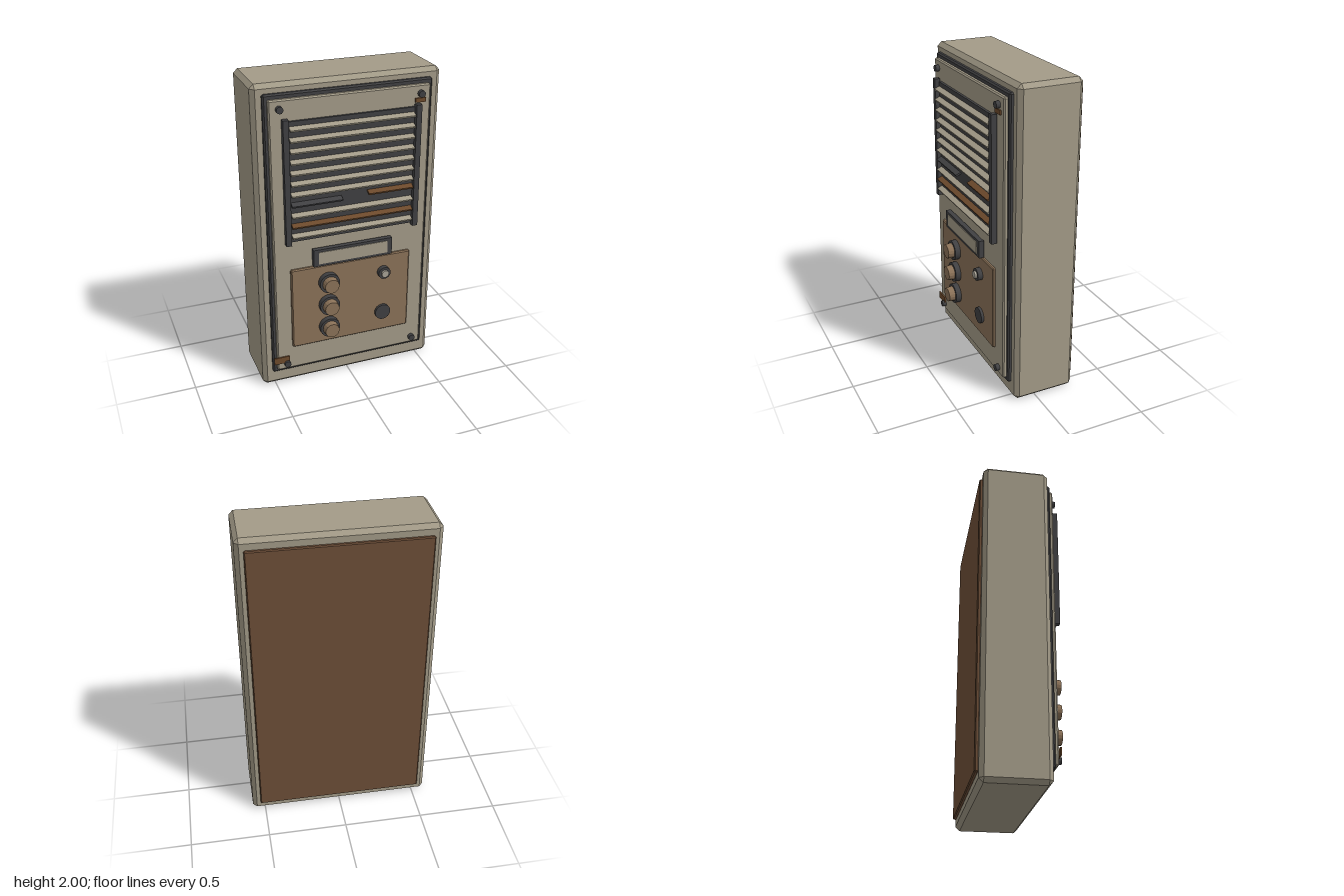
import * as THREE from 'three';
import { ConvexGeometry } from 'three/addons/geometries/ConvexGeometry.js';

const material = (name, color) => {
  const m = new THREE.MeshStandardMaterial({ color });
  m.name = name;
  return m;
};

export function createModel() {
  const beige = material('beige casing', 0xa39b88);
  const dark = material('dark rubber', 0x404042);
  const tan = material('tan metal', 0x8b7258);
  const rust = material('rust brown', 0x6d4a2c);
  const backing = material('back brown', 0x6e4f38);
  const silver = material('pale button', 0xa8a296);

  const model = new THREE.Group();
  model.name = 'wallIntercom';

  const add = (name, geometry, mat, x, y, z, parent = model) => {
    const mesh = new THREE.Mesh(geometry, mat);
    mesh.name = name;
    mesh.position.set(x, y, z);
    parent.add(mesh);
    return mesh;
  };

  // Box given by its limits, with every edge chamfered when b > 0
  const box = (name, mat, [x0, x1], [y0, y1], [z0, z1], b = 0, parent = model) => {
    const w = (x1 - x0) / 2, h = (y1 - y0) / 2, d = (z1 - z0) / 2;
    let geometry;
    if (b > 0) {
      const points = [];
      for (const sx of [-1, 1]) for (const sy of [-1, 1]) for (const sz of [-1, 1]) {
        points.push(
          new THREE.Vector3(sx * w, sy * (h - b), sz * (d - b)),
          new THREE.Vector3(sx * (w - b), sy * h, sz * (d - b)),
          new THREE.Vector3(sx * (w - b), sy * (h - b), sz * d));
      }
      geometry = new ConvexGeometry(points);
    } else {
      geometry = new THREE.BoxGeometry(2 * w, 2 * h, 2 * d);
    }
    return add(name, geometry, mat, (x0 + x1) / 2, (y0 + y1) / 2, (z0 + z1) / 2, parent);
  };

  // Cylinder whose axis points to the front
  const disc = (name, mat, x, y, r, z0, z1, sides = 20, rFront = r, parent = model) => {
    const geometry = new THREE.CylinderGeometry(rFront, r, z1 - z0, sides).rotateX(Math.PI / 2);
    return add(name, geometry, mat, x, y, (z0 + z1) / 2, parent);
  };

  // Casing, back plate, gasket and front panel
  box('casing', beige, [-0.58, 0.58], [0, 2], [-0.26, 0.14], 0.026);
  box('backPlate', backing, [-0.53, 0.53], [0.065, 1.935], [-0.28, -0.255], 0.006);
  box('gasket', dark, [-0.52, 0.517], [0.105, 1.945], [0.13, 0.163], 0.009);
  box('frontPanel', beige, [-0.496, 0.496], [0.13, 1.917], [0.155, 0.186], 0.008);

  // Speaker grille: dark backing, side rails and tilted slats
  const grille = new THREE.Group();
  grille.name = 'speakerGrille';
  model.add(grille);
  box('grilleBacking', dark, [-0.4, 0.4], [1.04, 1.79], [0.18, 0.202], 0, grille);
  for (const s of [-1, 1]) {
    const x = s * 0.408;
    box('grilleRail', dark, [x - 0.017, x + 0.017], [1.028, 1.808], [0.195, 0.229], 0, grille);
  }
  const slat = (name, mat, x0, x1, y, tilt = 0.4) => {
    const mesh = box(name, mat, [x0, x1], [y - 0.006, y + 0.006], [0.2, 0.236], 0, grille);
    mesh.rotation.x = tilt;
  };
  for (let i = 0; i < 11; i++) {
    const y = 1.75 - i * 0.0668;
    if (i === 7) {
      // Broken slat in two loose pieces
      slat('brokenSlatLeftPiece', dark, -0.385, -0.07, y + 0.003);
      slat('brokenSlatRightPiece', rust, 0.095, 0.385, y + 0.014);
    } else {
      slat('slat', i === 9 ? rust : beige, -0.385, 0.385, y);
    }
  }

  // Name plate holder
  const frame = new THREE.Shape();
  frame.moveTo(-0.258, 0.86).lineTo(0.255, 0.86).lineTo(0.255, 0.973).lineTo(-0.258, 0.973).closePath();
  const opening = new THREE.Path();
  opening.moveTo(-0.226, 0.877).lineTo(-0.226, 0.956).lineTo(0.223, 0.956).lineTo(0.223, 0.877).closePath();
  frame.holes.push(opening);
  add('nameFrame', new THREE.ExtrudeGeometry(frame, { depth: 0.032, bevelEnabled: false }), dark, 0, 0, 0.2);
  box('nameCard', beige, [-0.226, 0.223], [0.877, 0.956], [0.186, 0.236]);

  // Control plate with three push knobs
  box('controlPlate', tan, [-0.396, 0.391], [0.295, 0.847], [0.18, 0.205], 0.007);
  for (const y of [0.73, 0.57, 0.41]) {
    const knob = new THREE.Group();
    knob.name = 'pushKnob';
    model.add(knob);
    disc('knobCollar', dark, -0.157, y, 0.065, 0.2, 0.24, 24, 0.065, knob);
    const cap = disc('knobCap', tan, -0.157, y, 0.05, 0.235, 0.28, 16, 0.046, knob);
    cap.geometry = cap.geometry.toNonIndexed();
    cap.geometry.computeVertexNormals();
  }

  // Small call button and round sensor
  disc('buttonCollar', dark, 0.21, 0.73, 0.04, 0.2, 0.236);
  disc('callButton', silver, 0.21, 0.73, 0.024, 0.23, 0.249, 12);
  disc('sensor', dark, 0.21, 0.436, 0.052, 0.2, 0.222, 24);

  // Corner screws
  for (const x of [-0.434, 0.432]) for (const y of [0.177, 1.864]) {
    disc('screwHead', dark, x, y, 0.021, 0.183, 0.211, 12);
  }

  // Rust-coloured tape tabs
  box('upperTab', rust, [0.397, 0.463], [1.812, 1.838], [0.186, 0.196]);
  box('lowerTab', rust, [-0.519, -0.418], [0.183, 0.229], [0.187, 0.196]);

  return model;
}
